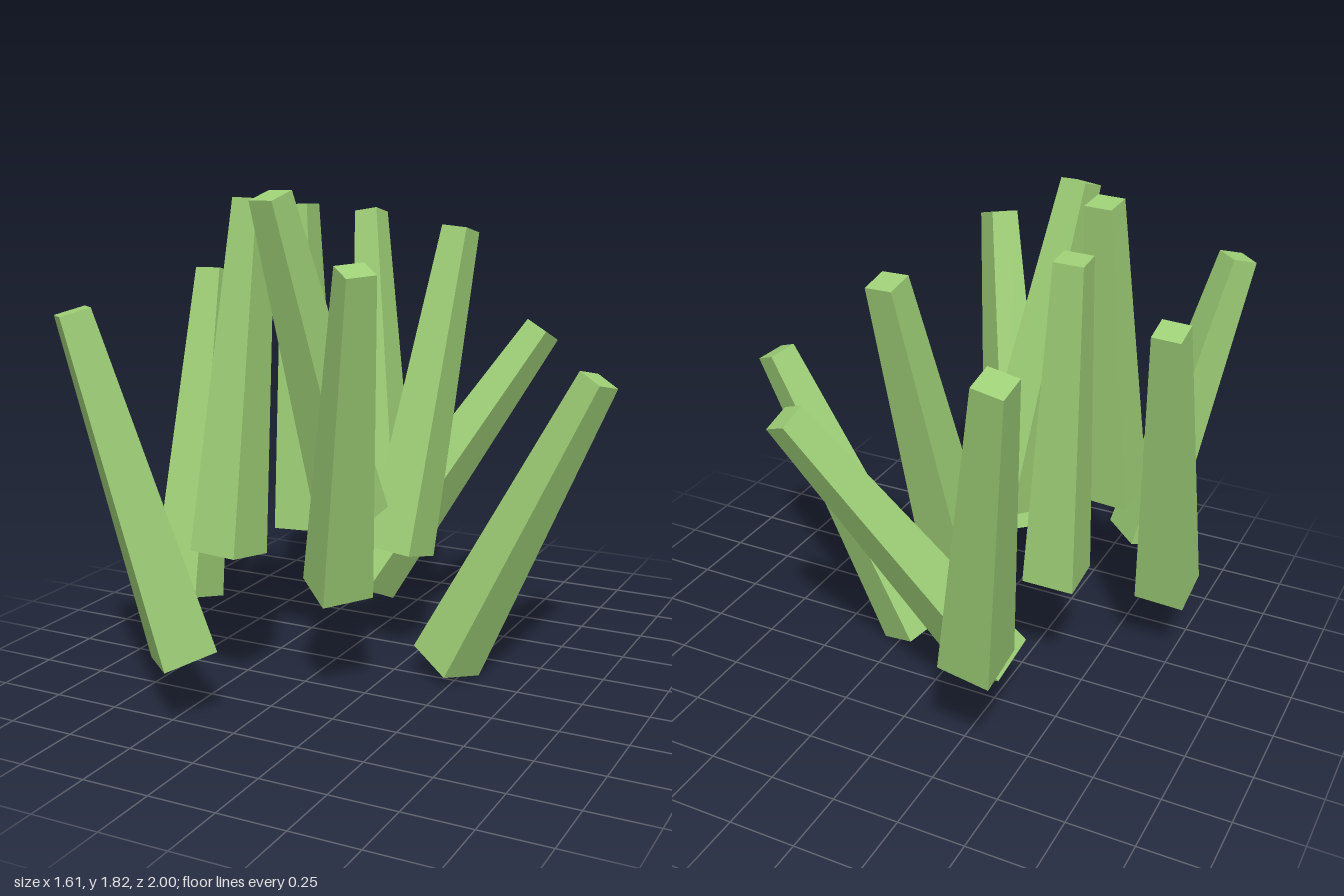
import * as THREE from 'three';

// Each blade: base centre, tip centre, and the plan direction (x, z) of one side edge
const BLADES = [
  { base: [-0.365, 0.48, -0.645], tip: [-0.57, 1.665, -0.95], edge: [1, 0] },
  { base: [-0.275, 0.23, -0.3], tip: [0.323, 1.245, -0.68], edge: [31, 12] },
  { base: [-0.016, 0.455, -0.08], tip: [0.095, 1.655, -0.378], edge: [18, 2] },
  { base: [-0.413, 0.508, -0.077], tip: [-0.46, 1.745, -0.138], edge: [20, -1] },
  { base: [0.2, 0.064, -0.037], tip: [0.741, 1.175, -0.1], edge: [30, 15] },
  { base: [-0.71, 0.305, 0.326], tip: [-0.757, 1.497, 0.003], edge: [1, 0] },
  { base: [-0.41, 0.563, 0.5], tip: [-0.38, 1.79, 0.328], edge: [19, 2] },
  { base: [-0.12, 0.63, 0.11], tip: [-0.238, 1.812, 0.455], edge: [35, 8] },
  { base: [-0.07, 0.424, 0.32], tip: [0.16, 1.597, 0.614], edge: [15, 12] },
  { base: [-0.45, 0.255, 0.74], tip: [-0.709, 1.455, 0.922], edge: [26, 23] },
];

const BASE_WIDTH = 0.192;
const TIP_WIDTH = 0.105;

// Square tapered bar of the given length, sides aligned with x and z
function bladeGeometry(length) {
  const g = new THREE.CylinderGeometry(TIP_WIDTH * Math.SQRT1_2, BASE_WIDTH * Math.SQRT1_2, length, 4);
  return g.rotateY(Math.PI / 4);
}

export function createModel() {
  const group = new THREE.Group();
  group.name = 'grassTuft';
  const material = new THREE.MeshStandardMaterial({ color: 0x9fd077, flatShading: true });

  BLADES.forEach(({ base, tip, edge }, i) => {
    const a = new THREE.Vector3(...base);
    const b = new THREE.Vector3(...tip);
    const axis = b.clone().sub(a);
    const blade = new THREE.Mesh(bladeGeometry(axis.length()), material);
    blade.name = `grassBlade${i + 1}`;

    // Side edge, tilted so that it is square to the blade's axis
    const [ex, ez] = edge;
    const side = new THREE.Vector3(ex, -(ex * axis.x + ez * axis.z) / axis.y, ez).normalize();
    axis.normalize();
    const depth = side.clone().cross(axis);
    blade.quaternion.setFromRotationMatrix(new THREE.Matrix4().makeBasis(side, axis, depth));
    blade.position.copy(a).add(b).multiplyScalar(0.5);
    group.add(blade);
  });
  return group;
}
